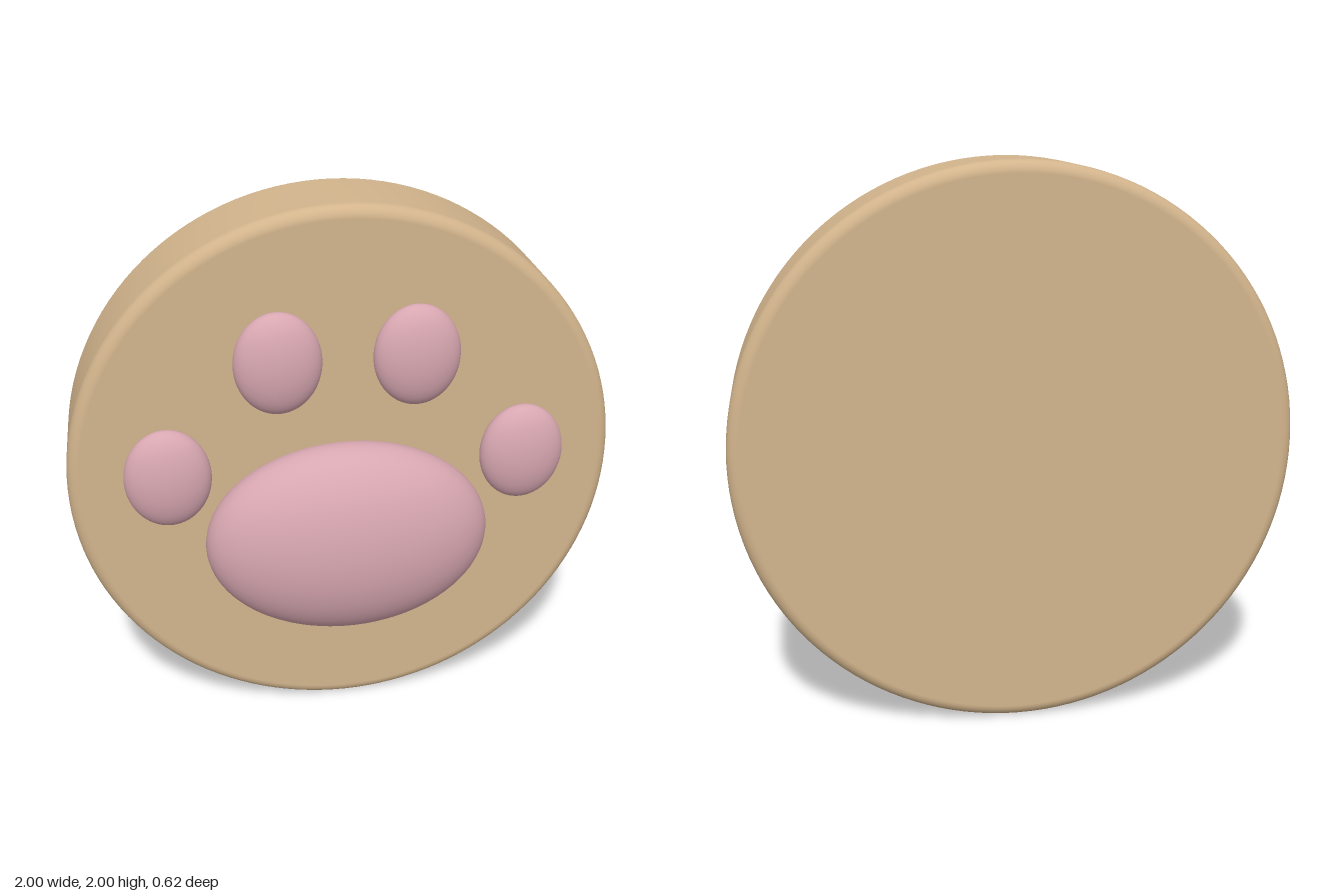
import * as THREE from 'three';

export function createModel() {
  const group = new THREE.Group();
  const tan = new THREE.MeshStandardMaterial({ color: 0xd2b48c });
  tan.name = 'tan';
  const pink = new THREE.MeshStandardMaterial({ color: 0xd8a7b1 });
  pink.name = 'pink';

  // Round disc with softly rounded rims, lathed about y and turned to face +z
  const back = -0.31, front = 0.07, radius = 1, bevel = 0.045, steps = 6;
  const profile = [new THREE.Vector2(0, back)];
  for (const [zc, start] of [[back + bevel, -Math.PI / 2], [front - bevel, 0]]) {
    for (let i = 0; i <= steps; i++) {
      const a = start + (i / steps) * Math.PI / 2;
      profile.push(new THREE.Vector2(radius - bevel + bevel * Math.cos(a), zc + bevel * Math.sin(a)));
    }
  }
  profile.push(new THREE.Vector2(0, front));
  const disc = new THREE.Mesh(new THREE.LatheGeometry(profile, 128), tan);
  disc.name = 'disc';
  disc.rotation.x = Math.PI / 2;
  disc.position.y = 1;
  group.add(disc);

  // Domed pads are flattened spheres sunk into the front face
  const sphere = new THREE.SphereGeometry(1, 64, 40);
  const addPad = (name, x, y, rx, ry, rz) => {
    const pad = new THREE.Mesh(sphere, pink);
    pad.name = name;
    pad.position.set(x, y, 0.105);
    pad.scale.set(rx, ry, rz);
    group.add(pad);
  };
  addPad('mainPad', 0, 0.76, 0.525, 0.38, 0.205);
  for (const [side, s] of [['left', 1], ['right', -1]]) {
    addPad(side + 'InnerToe', s * 0.245, 1.47, 0.155, 0.187, 0.075);
    addPad(side + 'OuterToe', s * 0.645, 1.06, 0.155, 0.187, 0.075);
  }
  return group;
}
